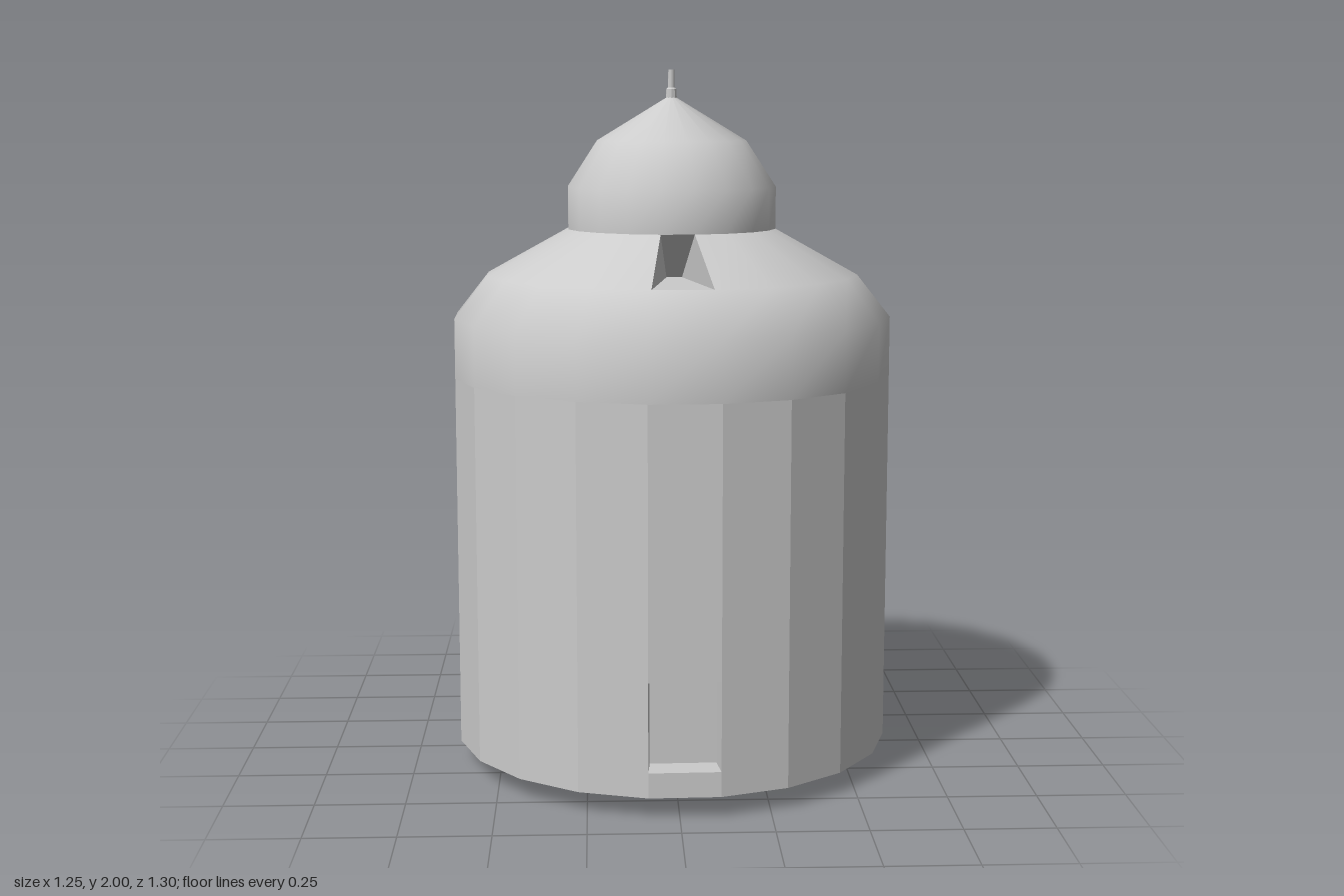
import * as THREE from 'three';

const SIDES = 20;
const STEP = (Math.PI * 2) / SIDES;
const R = 0.63;
const APOTHEM = R * Math.cos(STEP / 2);
const HALF = R * Math.sin(STEP / 2);

const smooth = new THREE.MeshStandardMaterial({ color: 0xcccccc });
const flat = new THREE.MeshStandardMaterial({ color: 0xcccccc, flatShading: true });
const thin = new THREE.MeshStandardMaterial({ color: 0xcccccc, flatShading: true, side: THREE.DoubleSide });

function buffer(pos, index) {
  const g = new THREE.BufferGeometry();
  g.setAttribute('position', new THREE.Float32BufferAttribute(pos, 3));
  g.setIndex(index);
  g.computeVertexNormals();
  return g;
}

// Faceted shell from a [radius, y] profile; side 0 faces +z, side 5 faces +x.
function shell(profile, isOpen = () => false) {
  const pos = [], index = [];
  for (const [r, y] of profile)
    for (let k = 0; k < SIDES; k++) {
      const a = (k - 0.5) * STEP;
      pos.push(r * Math.sin(a), y, r * Math.cos(a));
    }
  for (let i = 0; i < profile.length - 1; i++)
    for (let k = 0; k < SIDES; k++) {
      if (isOpen(i, k)) continue;
      const n = (k + 1) % SIDES;
      const a = i * SIDES + k, b = i * SIDES + n;
      const c = b + SIDES, d = a + SIDES;
      index.push(a, b, c, a, c, d);
    }
  return buffer(pos, index);
}

// Four walls joining one rectangular loop to the next
function sleeve(loops, capped) {
  const pos = [], index = [];
  for (const { w, y0, y1, z } of loops) pos.push(-w, y0, z, w, y0, z, w, y1, z, -w, y1, z);
  for (let i = 0; i < loops.length - 1; i++)
    for (let k = 0; k < 4; k++) {
      const a = i * 4 + k, b = i * 4 + ((k + 1) % 4);
      index.push(a, b, b + 4, a, b + 4, a + 4);
    }
  const e = (loops.length - 1) * 4;
  if (capped) index.push(e, e + 1, e + 2, e, e + 2, e + 3);
  return buffer(pos, index);
}

// Plan outline of [x, z] points raised from y0 to y1
function prism(points, y0, y1) {
  const s = new THREE.Shape(points.map(([x, z]) => new THREE.Vector2(x, -z)));
  const g = new THREE.ExtrudeGeometry(s, { depth: y1 - y0, bevelEnabled: false });
  g.rotateX(-Math.PI / 2);
  g.translate(0, y0, 0);
  return g;
}

export function createModel() {
  const model = new THREE.Group();
  model.name = 'tower';
  const body = new THREE.Group();
  body.name = 'towerBody';
  body.position.z = 0.024;
  body.rotation.y = THREE.MathUtils.degToRad(1.2);
  model.add(body);

  const add = (name, geometry, material) => {
    const m = new THREE.Mesh(geometry, material);
    m.name = name;
    body.add(m);
    return m;
  };

  // Wall, open at the windows and behind the door frame
  const levels = [0.06, 0.13, 0.38, 0.88, 1.13];
  add('wall', shell(levels.map((y) => [R, y]), (i, k) =>
    (i === 1 && (k === 0 || k === 5)) ||
    (i === 3 && (k === 5 || k === 15)) ||
    ((i === 1 || i === 2) && k >= 9 && k <= 11)), flat);
  add('base', shell([[0, 0.06], [R, 0.06]]), flat);

  // Roof with one open side for the slit
  add('roof', shell([[R, 1.13], [R, 1.3], [0.535, 1.42], [0.3, 1.55]],
    (i, k) => i === 2 && k === 0), smooth);

  // Roof slit: level floor, overhanging back and two cheeks
  const c = Math.cos(STEP / 2), s = Math.sin(STEP / 2);
  const slit = [];
  for (const [r, y] of [[0.535, 1.42], [0.14, 1.42], [0.3, 1.55]])
    slit.push(-r * s, y, r * c, r * s, y, r * c);
  add('roofSlit', buffer(slit, [0, 1, 3, 0, 3, 2, 2, 3, 5, 2, 5, 4, 0, 2, 4, 1, 5, 3]).toNonIndexed(), thin);

  // Dome and spire
  add('dome', shell([[0.3, 1.55], [0.3, 1.67], [0.215, 1.8], [0, 1.93]]), smooth);
  const spire = [[0.017, 1.9], [0.015, 1.945], [0.01, 1.95], [0.009, 2], [0, 2]];
  add('spire', new THREE.LatheGeometry(spire.map(([x, y]) => new THREE.Vector2(x, y)), 10), flat);

  // Blind lower windows
  const inner = 0.091, depth = APOTHEM - 0.08;
  for (const [name, k] of [['frontWindow', 0], ['rightLowerWindow', 5]]) {
    const loops = [
      { w: HALF, y0: 0.13, y1: 0.38, z: APOTHEM },
      { w: inner, y0: 0.13, y1: 0.38, z: depth },
    ];
    add(name, sleeve(loops, true), thin).rotation.y = k * STEP;
  }

  // Upper window passing right through the tower
  const through = [[HALF, APOTHEM], [inner, depth], [inner, -depth], [HALF, -APOTHEM]];
  add('upperWindow', sleeve(through.map(([w, z]) => ({ w, y0: 0.88, y1: 1.13, z })), false),
    thin).rotation.y = Math.PI / 2;

  // Door frame at the back: jambs, feet, lintel, sill and panel
  const face = -0.668, back = -0.561, panel = -0.583;
  for (const m of [-1, 1]) {
    const jamb = [[0.155, face], [0.3125, face], [0.3125, -0.615], [0.286, back], [0.155, panel]]
      .map(([x, z]) => [m * x, z]);
    add('doorJamb', prism(jamb, 0.13, 0.88), flat);
    const foot = new THREE.BoxGeometry(0.165, 0.13, 0.05);
    foot.translate(m * 0.228, 0.065, -0.59);
    add('doorFoot', foot, flat);
  }
  const lintel = [[-0.3125, face], [0.3125, face], [0.3125, -0.615], [0.286, back], [-0.286, back], [-0.3125, -0.615]];
  add('doorLintel', prism(lintel, 0.75, 0.88), flat);
  add('doorSill', prism([[-0.155, -0.62], [0.155, -0.62], [0.155, back], [-0.155, back]], 0.11, 0.13), flat);
  const door = new THREE.BoxGeometry(0.33, 0.64, 0.02);
  door.translate(0, 0.44, panel + 0.01);
  add('door', door, flat);

  return model;
}
